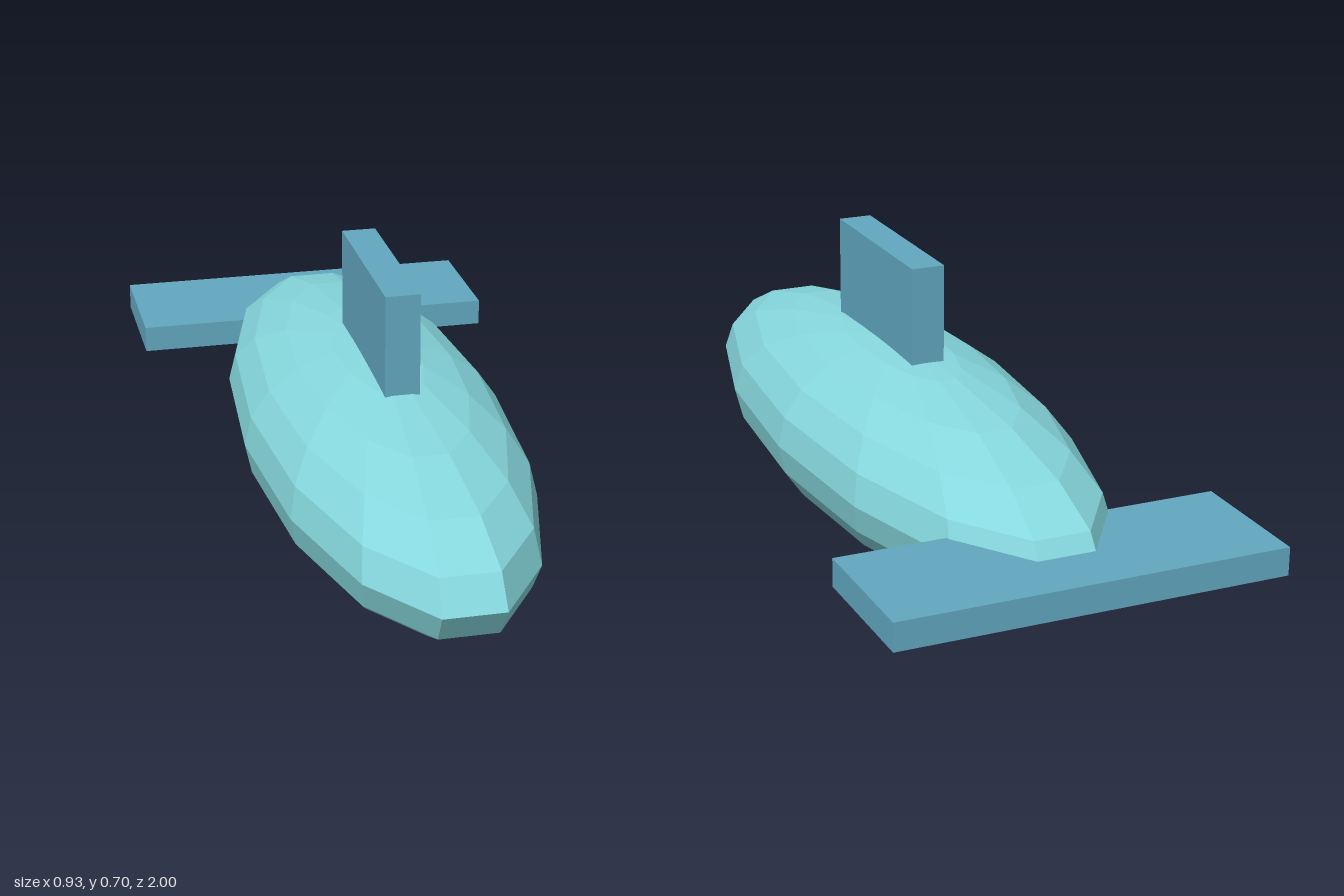
import * as THREE from 'three';

export function createModel() {
  const model = new THREE.Group();
  model.name = 'fish';

  const bodyColor = new THREE.MeshStandardMaterial({ color: 0x86d8de, flatShading: true });
  bodyColor.name = 'pale aqua';
  const finColor = new THREE.MeshStandardMaterial({ color: 0x62a8c0, flatShading: true });
  finColor.name = 'muted blue';

  const add = (name, geometry, material, x, y, z) => {
    const mesh = new THREE.Mesh(geometry, material);
    mesh.name = name;
    mesh.position.set(x, y, z);
    model.add(mesh);
  };

  // Faceted ellipsoid body, stretched from nose to tail
  const bodyShape = new THREE.SphereGeometry(1, 14, 10).scale(0.32, 0.235, 0.962);
  add('body', bodyShape, bodyColor, 0, 0.235, 0.062);

  // Upright fin on the back
  add('dorsalFin', new THREE.BoxGeometry(0.082, 0.245, 0.462), finColor, 0, 0.5785, 0.119);

  // Flat, wide tail
  add('tailFin', new THREE.BoxGeometry(0.926, 0.067, 0.335), finColor, 0, 0.2365, -0.8325);

  return model;
}
